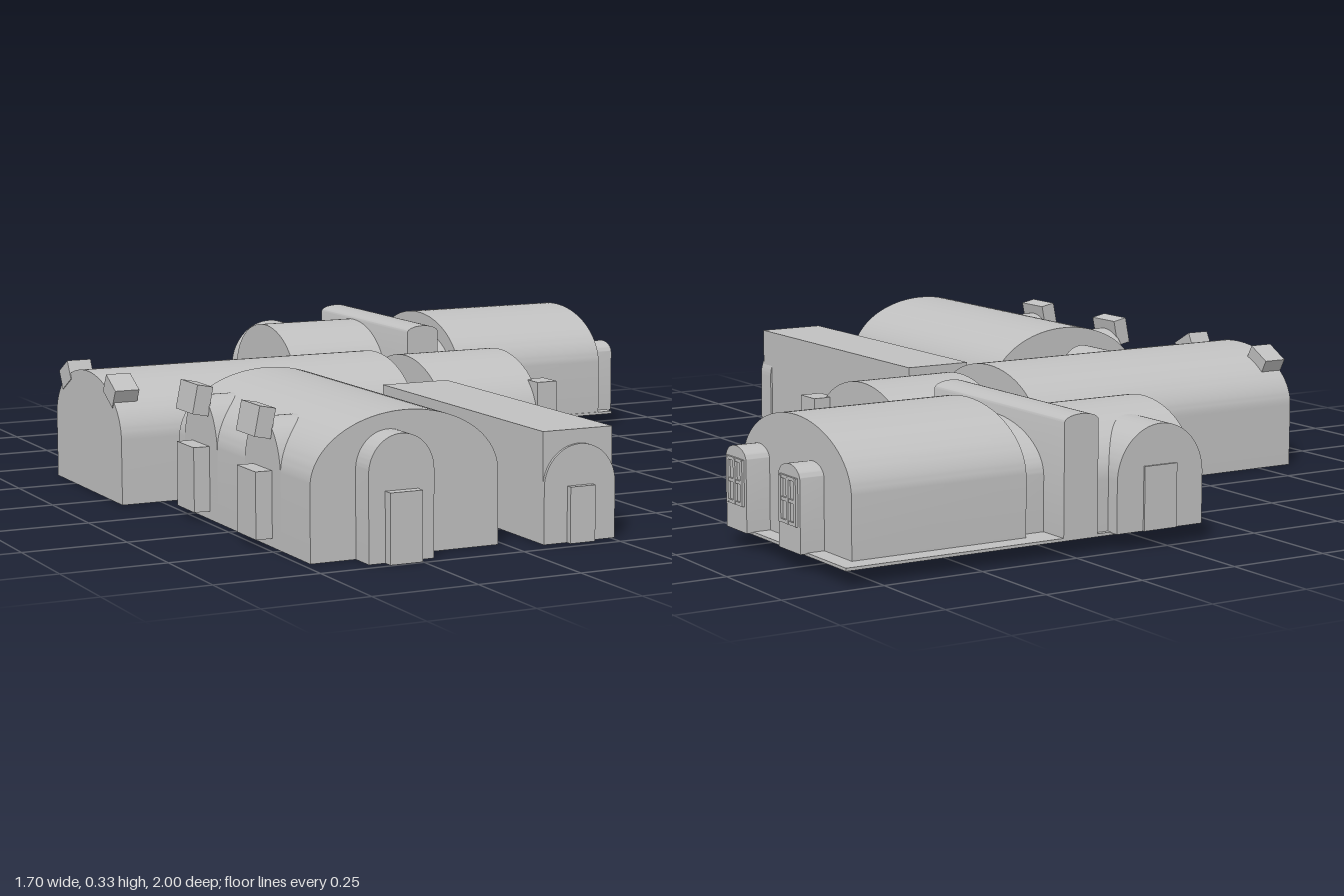
import * as THREE from 'three';
import { toCreasedNormals } from 'three/addons/utils/BufferGeometryUtils.js';

export function createModel() {
  const group = new THREE.Group();
  const concrete = new THREE.MeshStandardMaterial({ color: 0xc0c0c0 });
  concrete.name = 'concrete grey';

  function add(name, geometry) {
    const mesh = new THREE.Mesh(geometry, concrete);
    mesh.name = name;
    group.add(mesh);
    return mesh;
  }

  // Box given by its limits on each axis
  function box(name, x0, x1, y0, y1, z0, z1) {
    const mesh = add(name, new THREE.BoxGeometry(x1 - x0, y1 - y0, z1 - z0));
    mesh.position.set((x0 + x1) / 2, (y0 + y1) / 2, (z0 + z1) / 2);
    return mesh;
  }

  // Barrel vault: straight walls up to the spring line, then half an ellipse
  function vault(name, axis, x0, x1, z0, z1, y0, spring, top) {
    const alongX = axis === 'x';
    const half = (alongX ? z1 - z0 : x1 - x0) / 2;
    const length = alongX ? x1 - x0 : z1 - z0;
    const shape = new THREE.Shape();
    shape.moveTo(-half, y0);
    shape.lineTo(half, y0);
    shape.lineTo(half, spring);
    shape.absellipse(0, spring, half, top - spring, 0, Math.PI, false, 0);
    shape.lineTo(-half, y0);
    let geo = new THREE.ExtrudeGeometry(shape, { depth: length, bevelEnabled: false, curveSegments: 32 });
    geo.translate(0, 0, -length / 2);
    if (alongX) geo.rotateY(Math.PI / 2);
    geo = toCreasedNormals(geo, 0.45);
    add(name, geo).position.set((x0 + x1) / 2, 0, (z0 + z1) / 2);
  }

  // Front hall with its porch and door
  vault('frontHall', 'z', -0.73, -0.265, 0.155, 0.905, 0, 0.17, 0.325);
  vault('frontHallPorch', 'z', -0.62, -0.46, 0.88, 0.97, 0, 0.2, 0.285);
  box('frontHallDoor', -0.58, -0.5, 0, 0.16, 0.96, 0.995);

  // Side bays of the front hall, each with a door and a tilted skylight
  for (const z of [0.29, 0.65]) {
    vault('sideBay', 'x', -0.73, -0.55, z - 0.1, z + 0.1, 0, 0.16, 0.29);
    box('sideBayDoor', -0.77, -0.72, 0.02, 0.175, z - 0.052, z + 0.052);
    box('sideBaySkylight', -0.765, -0.725, 0.25, 0.32, z - 0.052, z + 0.052).rotation.z = -0.2;
  }

  // Long flat-roofed corridor with an arched front
  box('corridor', -0.175, 0.005, 0, 0.258, 0.14, 0.95);
  vault('corridorArch', 'z', -0.175, 0.01, 0.9, 0.957, 0, 0.13, 0.225);
  box('corridorDoor', -0.115, -0.05, 0, 0.13, 0.95, 0.972);

  // Cross hall with end skylights
  vault('crossHall', 'x', -0.85, -0.055, -0.38, 0.08, 0, 0.16, 0.3);
  for (const side of [-1, 1]) {
    const z = -0.15 + side * 0.157;
    box('crossHallSkylight', -0.852, -0.79, 0.245, 0.295, z - 0.035, z + 0.035).rotation.x = side * 0.5;
  }

  // Vaulted link between the front hall and the cross hall
  vault('linkBay', 'z', -0.6, -0.45, -0.15, 0.115, 0, 0.19, 0.28);
  vault('linkNeck', 'z', -0.59, -0.465, 0.1, 0.17, 0, 0.17, 0.25);

  // Low passages between the buildings
  box('corridorPassage', -0.265, -0.17, 0, 0.13, 0.42, 0.5);
  box('crossPassage', -0.175, -0.055, 0, 0.13, 0.06, 0.15);
  box('middlePassage', -0.06, 0.04, 0.01, 0.13, -0.19, -0.11);
  box('rearPassage', 0.165, 0.27, 0.035, 0.16, -0.43, -0.37);

  // Small middle hall with doors
  vault('middleHall', 'x', 0.03, 0.312, -0.38, 0.085, 0.025, 0.12, 0.285);
  box('middleHallFrontDoor', 0.225, 0.305, 0.025, 0.16, 0.07, 0.115);
  box('middleHallSideDoor', 0.3, 0.34, 0.025, 0.16, -0.357, -0.297);
  box('middleHallCornerPost', 0.3, 0.357, 0.025, 0.225, 0.015, 0.085);

  // Rear platform and main rear hall
  box('rearPlatform', -0.1, 0.828, 0.035, 0.042, -0.972, -0.417);
  vault('rearHall', 'x', 0.335, 0.785, -0.922, -0.42, 0.04, 0.18, 0.327);
  vault('rearHallNeck', 'x', 0.26, 0.34, -0.89, -0.46, 0.04, 0.17, 0.285);

  // Arched window bays on the end of the rear hall
  for (const z of [-0.5, -0.752]) {
    vault('windowBay', 'x', 0.77, 0.845, z - 0.049, z + 0.049, 0.04, 0.205, 0.235);
    for (const dz of [-0.034, 0, 0.034])
      box('windowBar', 0.845, 0.851, 0.1, 0.205, z + dz - 0.005, z + dz + 0.005);
    for (const y of [0.1, 0.15, 0.2])
      box('windowBar', 0.845, 0.85, y, y + 0.008, z - 0.039, z + 0.039);
  }

  // Tall wall with a slightly rounded top, dividing the rear buildings
  vault('dividingWall', 'z', 0.175, 0.267, -0.972, -0.417, 0.04, 0.305, 0.322);

  // Rear annex with a crossing arched porch and door
  vault('rearAnnex', 'x', -0.1, 0.18, -0.96, -0.555, 0.04, 0.16, 0.305);
  vault('rearAnnexPorch', 'z', -0.1, 0.138, -0.995, -0.76, 0.04, 0.16, 0.285);
  box('rearAnnexDoor', -0.025, 0.065, 0.04, 0.19, -1.0, -0.98);

  return group;
}
